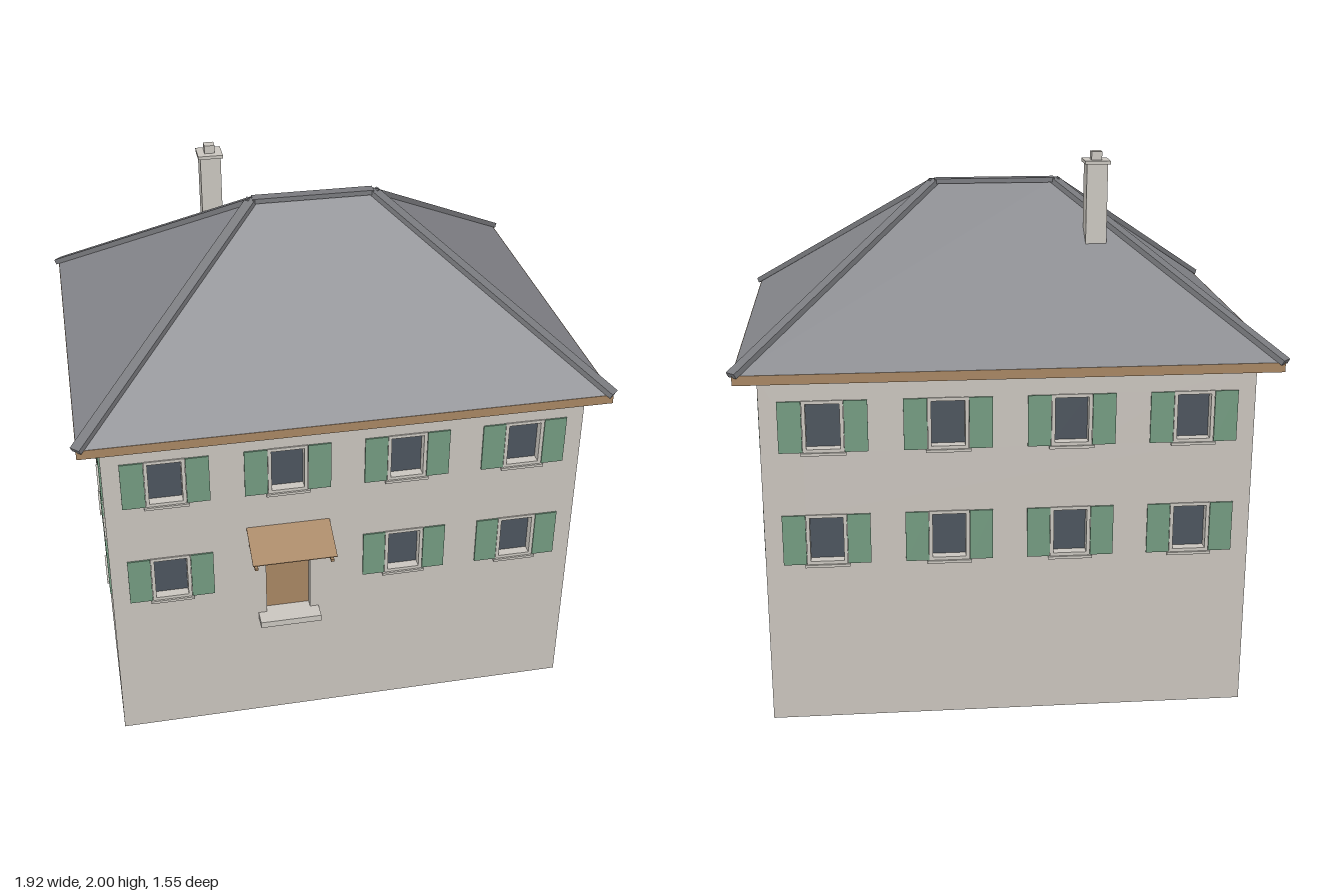
import * as THREE from 'three';

const mat = (name, color, side = THREE.FrontSide) => {
  const m = new THREE.MeshStandardMaterial({ color, side });
  m.name = name;
  return m;
};

export function createModel() {
  const wall = mat('plaster', 0xc8c3bc, THREE.DoubleSide);
  const stone = mat('stone', 0xc9c5be);
  const slate = mat('slate', 0x84858a);
  const cap = mat('ridge slate', 0x797a7e);
  const wood = mat('wood', 0xa68562, THREE.DoubleSide);
  const green = mat('shutter green', 0x739a80);
  const glass = mat('glass', 0x4c545d, THREE.DoubleSide);

  const house = new THREE.Group();
  house.name = 'house';
  const CZ = -0.03, HX = 0.867, HZ = 0.65, WALL_H = 1.31;

  const add = (parent, name, geo, material, x = 0, y = 0, z = 0) => {
    const m = new THREE.Mesh(geo, material);
    m.name = name;
    m.position.set(x, y, z);
    parent.add(m);
    return m;
  };
  const box = (parent, name, w, h, d, material, x, y, z) =>
    add(parent, name, new THREE.BoxGeometry(w, h, d), material, x, y, z);

  const rect = (Type, w, h, x = 0, y = 0) => {
    const p = new Type();
    p.moveTo(x - w / 2, y - h / 2);
    p.lineTo(x + w / 2, y - h / 2);
    p.lineTo(x + w / 2, y + h / 2);
    p.lineTo(x - w / 2, y + h / 2);
    p.closePath();
    return p;
  };

  // Window: deep frame, recessed pane, sill and a pair of open shutters
  const WIN_W = 0.143, WIN_H = 0.188;
  const frameShape = rect(THREE.Shape, WIN_W, WIN_H);
  frameShape.holes.push(rect(THREE.Path, 0.118, 0.164));
  const frameGeo = new THREE.ExtrudeGeometry(frameShape, { depth: 0.045, bevelEnabled: false });
  const paneGeo = new THREE.PlaneGeometry(0.12, 0.166);
  const addWindow = (parent, x, y) => {
    const g = new THREE.Group();
    g.name = 'window';
    g.position.set(x, y, 0);
    add(g, 'windowFrame', frameGeo, stone, 0, 0, -0.04);
    add(g, 'windowPane', paneGeo, glass, 0, 0, -0.03);
    box(g, 'windowSill', 0.158, 0.01, 0.05, stone, 0, -0.099, -0.013);
    for (const s of [-1, 1])
      box(g, 'shutter', 0.082, 0.186, 0.006, green, s * 0.114, 0, 0.003);
    parent.add(g);
  };

  // Wall sheet with openings; local +z faces outwards
  const DOOR = { x: -0.22, y: 0.64, w: 0.168, h: 0.31 };
  const addWall = (name, half, count, x, z, turn, hasDoor) => {
    const g = new THREE.Group();
    g.name = name;
    g.position.set(x, 0, z);
    g.rotation.y = turn;
    const sheet = rect(THREE.Shape, half * 2, WALL_H, 0, WALL_H / 2);
    for (let i = 0; i < count; i++) {
      const wx = (i - (count - 1) / 2) * 0.433;
      for (const wy of [0.703, 1.123]) {
        if (hasDoor && i === 1 && wy < 1) continue;
        sheet.holes.push(rect(THREE.Path, WIN_W, WIN_H, wx, wy));
        addWindow(g, wx, wy);
      }
    }
    if (hasDoor) sheet.holes.push(rect(THREE.Path, DOOR.w, DOOR.h, DOOR.x, DOOR.y));
    add(g, 'wallSheet', new THREE.ShapeGeometry(sheet), wall);
    house.add(g);
    return g;
  };
  const front = addWall('frontWall', HX, 4, 0, CZ + HZ, 0, true);
  addWall('backWall', HX, 4, 0, CZ - HZ, Math.PI, false);
  addWall('leftWall', HZ, 3, HX, CZ, Math.PI / 2, false);
  addWall('rightWall', HZ, 3, -HX, CZ, -Math.PI / 2, false);

  // Recessed door with reveal and step
  for (const s of [-1, 1])
    box(front, 'doorReveal', 0.004, DOOR.h, 0.04, stone, DOOR.x + s * DOOR.w / 2, DOOR.y, -0.02);
  box(front, 'doorLintel', DOOR.w, 0.004, 0.04, stone, DOOR.x, DOOR.y + DOOR.h / 2, -0.02);
  box(front, 'door', DOOR.w, DOOR.h, 0.008, wood, DOOR.x, DOOR.y, -0.036);
  box(front, 'doorStep', 0.228, 0.025, 0.1, stone, DOOR.x, 0.473, 0.01);

  // Canopy sheet sloping down to the front, on two rising struts
  const canopy = add(front, 'canopy', new THREE.BoxGeometry(0.305, 0.004, Math.hypot(0.148, 0.06)),
    wood, -0.218, 0.855, 0.074);
  canopy.rotation.x = Math.atan2(0.06, 0.148);

  // Box beam of given section running from a to b
  const beam = (parent, name, a, b, w, h, material) => {
    const m = box(parent, name, w, h, a.distanceTo(b), material, 0, 0, 0);
    m.position.copy(a).add(b).multiplyScalar(0.5);
    m.lookAt(b.clone().sub(a).add(m.position));
    return m;
  };
  const V = (x, y, z) => new THREE.Vector3(x, y, z);
  for (const x of [-0.357, -0.082])
    beam(front, 'canopyStrut', V(x, 0.794, -0.02), V(x, 0.824, 0.14), 0.012, 0.01, wood);

  // Eaves board and soffit
  const RZ = -0.037, EX = 0.942, EZ = 0.728, EY = 1.335, RY = 1.866, RX = 0.225;
  const eaves = rect(THREE.Shape, EX * 2, EZ * 2);
  eaves.holes.push(rect(THREE.Path, HX * 2 - 0.02, HZ * 2 - 0.02));
  const eavesGeo = new THREE.ExtrudeGeometry(eaves, { depth: 0.034, bevelEnabled: false });
  eavesGeo.rotateX(-Math.PI / 2);
  add(house, 'eaves', eavesGeo, wood, 0, 1.302, RZ);

  // Hipped roof: a box whose top is drawn in to the ridge line
  const roofGeo = new THREE.BoxGeometry(EX * 2, RY - EY, EZ * 2).toNonIndexed();
  const p = roofGeo.attributes.position;
  for (let i = 0; i < p.count; i++)
    if (p.getY(i) > 0) p.setXYZ(i, Math.sign(p.getX(i)) * RX, p.getY(i), 0);
  roofGeo.computeVertexNormals();
  add(house, 'roof', roofGeo, slate, 0, (EY + RY) / 2, RZ);

  // Ridge and hip caps
  beam(house, 'ridgeCap', V(-RX, RY, RZ), V(RX, RY, RZ), 0.042, 0.018, cap);
  for (const sx of [-1, 1])
    for (const sz of [-1, 1])
      beam(house, 'hipCap', V(sx * EX, EY + 0.003, RZ + sz * EZ), V(sx * RX, RY, RZ), 0.04, 0.02, cap);

  // Chimney with slab and pot
  const chimney = new THREE.Group();
  chimney.name = 'chimney';
  chimney.position.set(-0.348, 0, -0.268);
  box(chimney, 'chimneyStack', 0.076, 0.36, 0.076, stone, 0, 1.78, 0);
  box(chimney, 'chimneySlab', 0.092, 0.012, 0.092, stone, 0, 1.964, 0);
  box(chimney, 'chimneyPot', 0.038, 0.03, 0.038, stone, 0, 1.985, 0);
  house.add(chimney);

  return house;
}
